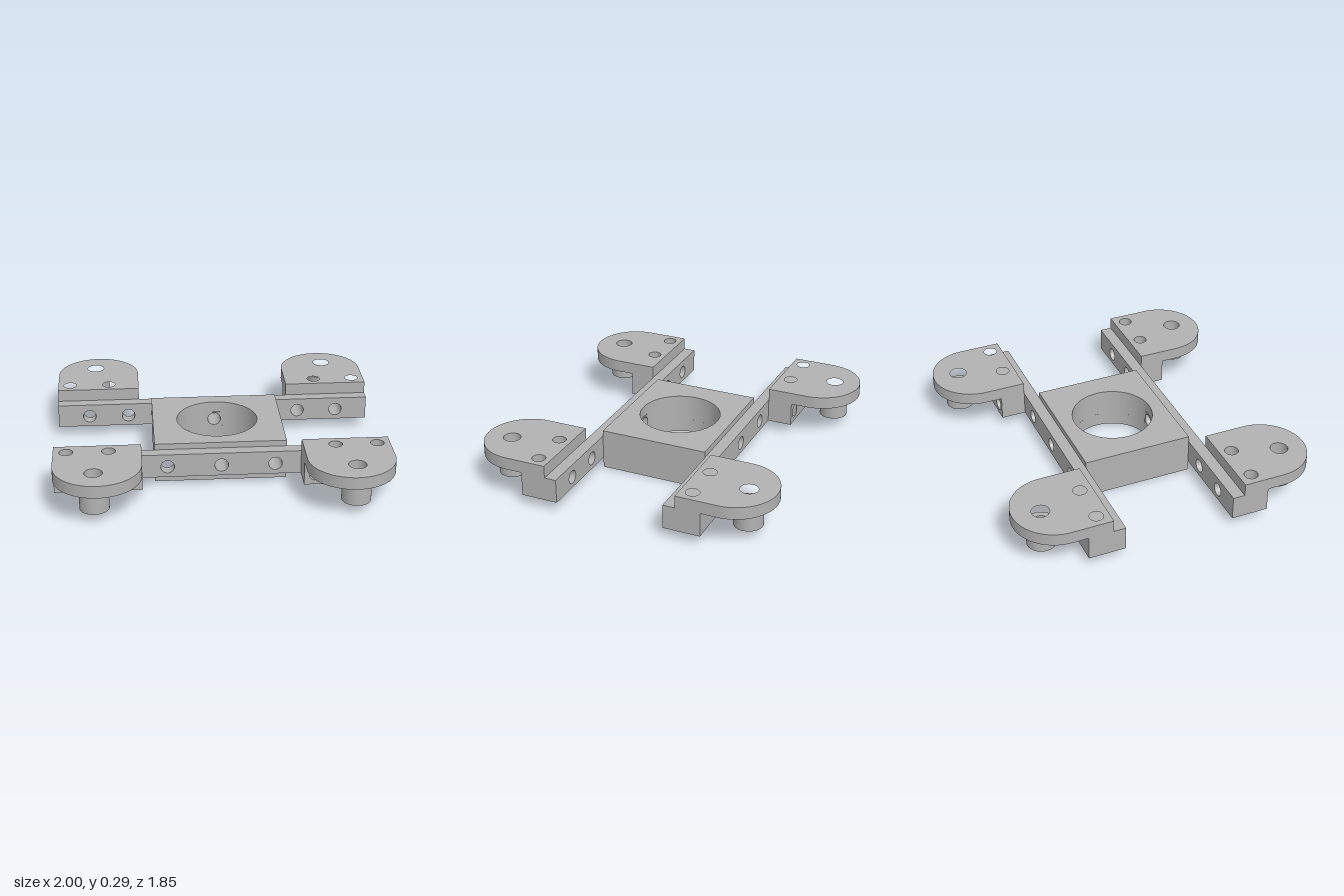
import * as THREE from 'three';
import { toCreasedNormals } from 'three/addons/utils/BufferGeometryUtils.js';

const grey = new THREE.MeshStandardMaterial({ color: 0xb2b2b2 });
grey.name = 'grey';

// Shared levels and depths
const ARM_BOTTOM = 0.065, ARM_TOP = 0.213, PAD_TOP = 0.289, BLOCK_TOP = 0.25;
const BLOCK_Z = 0.338, BAR_Z = 0.411, FOOT_Z = 0.565;
const BORE = 0.25, BOLT = 0.041, BOLT_Y = 0.133;

function addHole(shape, x, y, r) {
  const path = new THREE.Path();
  path.absarc(x, y, r, 0, Math.PI * 2, true);
  shape.holes.push(path);
}

// Rectangle between two corners, with round holes given as [x, y, radius]
function plate(x0, y0, x1, y1, holes = []) {
  const s = new THREE.Shape();
  s.moveTo(x0, y0).lineTo(x1, y0).lineTo(x1, y1).lineTo(x0, y1).closePath();
  holes.forEach(h => addHole(s, ...h));
  return s;
}

function extrude(shape, depth) {
  return new THREE.ExtrudeGeometry(shape, { depth, bevelEnabled: false, curveSegments: 32 });
}

function addPart(group, name, geometry) {
  const mesh = new THREE.Mesh(toCreasedNormals(geometry, 0.6), grey);
  mesh.name = name;
  group.add(mesh);
}

// Shape in x/z, raised from y0 to y1
function addUpright(group, name, shape, y0, y1) {
  addPart(group, name, extrude(shape, y1 - y0).rotateX(Math.PI / 2).translate(0, y1, 0));
}

// Shape in x/y, running from za to zb
function addAlong(group, name, shape, za, zb) {
  const z0 = Math.min(za, zb);
  addPart(group, name, extrude(shape, Math.abs(zb - za)).translate(0, 0, z0));
}

function centreBlock() {
  const g = new THREE.Group();
  g.name = 'centreBlock';
  const w = 0.27, slot = 0.048, lo = BOLT_Y - slot, hi = BOLT_Y + slot;

  // Layers above and below the middle bolt hole
  const ring = plate(-w, -BLOCK_Z, w, BLOCK_Z, [[0, 0, BORE]]);
  addUpright(g, 'blockLower', ring, 0, lo);
  addUpright(g, 'blockUpper', ring, hi, BLOCK_TOP);

  for (const s of [-1, 1]) {
    // Solid flank drilled from front to back
    addAlong(g, 'blockFlank', plate(s * w, 0, s * 0.4, BLOCK_TOP, [[s * 0.325, BOLT_Y, BOLT]]), -BLOCK_Z, BLOCK_Z);

    // Middle layer beside the bolt hole
    const a = Math.acos(slot / BORE);
    const side = new THREE.Shape();
    side.moveTo(s * slot, -BLOCK_Z).lineTo(s * w, -BLOCK_Z).lineTo(s * w, BLOCK_Z).lineTo(s * slot, BLOCK_Z);
    if (s > 0) side.absarc(0, 0, BORE, a, -a, true);
    else side.absarc(0, 0, BORE, Math.PI - a, Math.PI + a, false);
    side.closePath();
    addUpright(g, 'blockMiddle', side, lo, hi);

    // Bolt hole into the bore
    addAlong(g, 'boltHole', plate(-slot, lo, slot, hi, [[0, BOLT_Y, BOLT]]), s * 0.246, s * BLOCK_Z);
  }
  return g;
}

// Long drilled bar carrying two corners
function crossBar(sz) {
  const g = new THREE.Group();
  g.name = sz > 0 ? 'frontBar' : 'backBar';
  const holes = [-0.8, -0.55, -0.325, 0, 0.325, 0.55, 0.8].map(x => [x, BOLT_Y, BOLT]);
  addAlong(g, 'bar', plate(-1, ARM_BOTTOM, 1, ARM_TOP, holes), sz * BLOCK_Z, sz * BAR_Z);
  return g;
}

function corner(sx, sz) {
  const g = new THREE.Group();
  g.name = (sz > 0 ? 'front' : 'back') + (sx > 0 ? 'Left' : 'Right') + 'Corner';
  const screws = [0.673, 0.923].map(x => [sx * x, sz * 0.487, BOLT]);
  const post = [sx * 0.76, sz * 0.76];

  // Mounting foot, cut into slices drilled alternately along z and y
  const cuts = [0.48, 0.611, 0.737, 0.861, 1];
  [0.55, 0.673, 0.8, 0.923].forEach((hx, i) => {
    const xa = sx * cuts[i], xb = sx * cuts[i + 1];
    if (i % 2 === 0) {
      addAlong(g, 'foot', plate(xa, ARM_BOTTOM, xb, ARM_TOP, [[sx * hx, BOLT_Y, BOLT]]), sz * BAR_Z, sz * FOOT_Z);
    } else {
      addUpright(g, 'foot', plate(xa, sz * BAR_Z, xb, sz * FOOT_Z, [screws[(i - 1) / 2]]), ARM_BOTTOM, ARM_TOP);
    }
  });

  // Round-ended pad
  const r = 0.26, cx = sx * 0.74;
  const pad = new THREE.Shape();
  pad.moveTo(cx - r, sz * BAR_Z).lineTo(cx + r, sz * BAR_Z);
  pad.absarc(cx, sz * 0.665, r, 0, sz * Math.PI, sz < 0);
  pad.closePath();
  screws.forEach(h => addHole(pad, ...h));
  addHole(pad, ...post, 0.053);
  addUpright(g, 'pad', pad, ARM_TOP, PAD_TOP);

  // Hollow post below the pad
  const tube = new THREE.Shape();
  tube.absarc(...post, 0.087, 0, Math.PI * 2, false);
  addHole(tube, ...post, 0.053);
  addUpright(g, 'post', tube, ARM_BOTTOM, ARM_TOP);
  return g;
}

export function createModel() {
  const model = new THREE.Group();
  model.name = 'mountingFrame';
  model.add(centreBlock());
  for (const sz of [-1, 1]) {
    model.add(crossBar(sz));
    for (const sx of [-1, 1]) model.add(corner(sx, sz));
  }
  return model;
}
